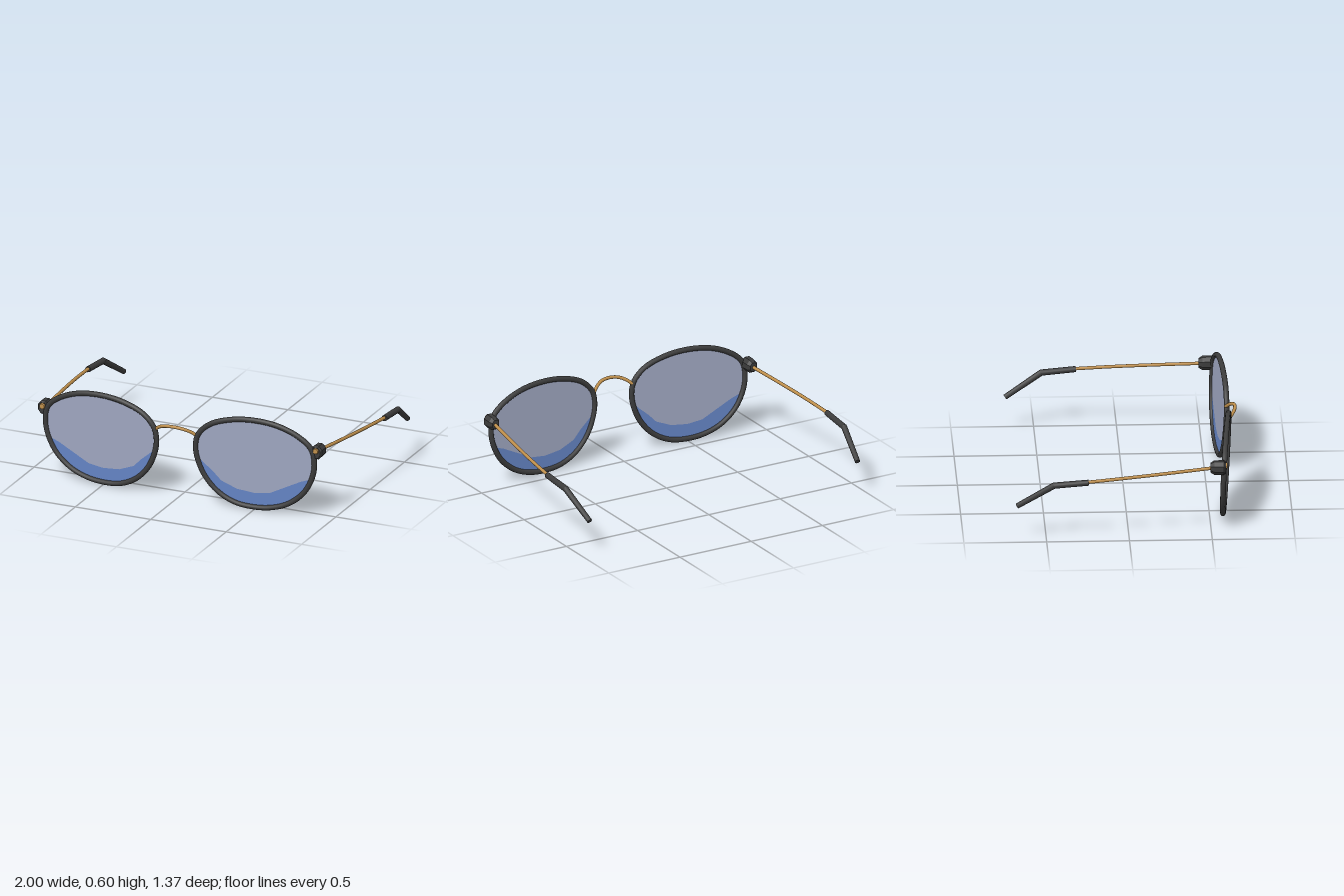
import * as THREE from 'three';

const mat = (name, color, extra = {}) => new THREE.MeshStandardMaterial({ name, color, ...extra });
const V = (x, y, z) => new THREE.Vector3(x, y, z);

// lens plane: swept back outward, leaning slightly forward at the top
const lensZ = (x, y) => 0.6 - 0.075 * (Math.abs(x) - 0.5) + 0.04 * (y - 0.3);

// rim centreline, from the nose side over the top and back underneath
const RIM = [[0.138, 0.3], [0.13, 0.38], [0.148, 0.45], [0.22, 0.523], [0.35, 0.572], [0.5, 0.589],
  [0.66, 0.572], [0.79, 0.52], [0.87, 0.453], [0.891, 0.37], [0.878, 0.27], [0.82, 0.157],
  [0.72, 0.072], [0.61, 0.031], [0.5, 0.02], [0.38, 0.034], [0.27, 0.09], [0.185, 0.185]];
// upper edge of the blue tint
const TINT = [[0.139, 0.3], [0.16, 0.285], [0.24, 0.217], [0.29, 0.165], [0.39, 0.124], [0.5, 0.112],
  [0.6, 0.124], [0.72, 0.185], [0.8, 0.225], [0.874, 0.252]];

export function createModel() {
  const model = new THREE.Group();
  model.name = 'eyeglasses';
  const dark = mat('darkFrame', 0x3c3c3c);
  const gold = mat('goldMetal', 0xc0904c);
  const grey = mat('greyLens', 0xa0a8c2, { side: THREE.DoubleSide });
  const blue = mat('blueTint', 0x6585c6, { side: THREE.DoubleSide });

  const add = (name, geometry, material) => {
    const mesh = new THREE.Mesh(geometry, material);
    mesh.name = name;
    model.add(mesh);
    return mesh;
  };

  // capped round bar between two points
  const bar = (name, a, b, ra, rb, material) => {
    const d = b.clone().sub(a);
    const mesh = add(name, new THREE.CylinderGeometry(rb, ra, d.length(), 12), material);
    mesh.position.copy(a).addScaledVector(d, 0.5);
    mesh.quaternion.setFromUnitVectors(V(0, 1, 0), d.normalize());
  };

  // flat outline laid onto the lens plane
  const pane = (name, pts, material) => {
    const g = new THREE.ShapeGeometry(new THREE.Shape(pts.map(p => new THREE.Vector2(p.x, p.y))));
    const pos = g.attributes.position;
    for (let i = 0; i < pos.count; i++) pos.setZ(i, lensZ(pos.getX(i), pos.getY(i)));
    g.computeVertexNormals();
    add(name, g, material);
  };

  for (const [side, s] of [['left', 1], ['right', -1]]) {
    const onLens = ([x, y]) => V(s * x, y, lensZ(x, y));

    // rim
    const rim = new THREE.CatmullRomCurve3(RIM.map(onLens), true);
    add(side + 'Rim', new THREE.TubeGeometry(rim, 96, 0.0165, 10, true), dark);

    // lens, split along the tint edge
    const edge = TINT.map(onLens);
    const tintY = x => {
      const i = Math.max(1, TINT.findIndex(p => p[0] >= x));
      if (x > TINT[TINT.length - 1][0]) return 0.252;
      const [a, b] = [TINT[i - 1], TINT[i]];
      return a[1] + (b[1] - a[1]) * (x - a[0]) / (b[0] - a[0]);
    };
    const ring = rim.getPoints(96).slice(1, -1);
    const isUpper = p => p.y > Math.min(0.3, tintY(Math.abs(p.x)));
    pane(side + 'LensUpper', [...ring.filter(isUpper), ...[...edge].reverse()], grey);
    pane(side + 'LensTint', [...ring.filter(p => !isUpper(p)), ...edge], blue);

    // hinge block, tapering backwards
    const block = new THREE.LatheGeometry([[0, 0], [0.03, 0], [0.044, 0.022], [0.046, 0.08], [0.036, 0.092], [0, 0.092]]
      .map(p => new THREE.Vector2(...p)), 8).toNonIndexed();
    block.rotateX(Math.PI / 2).rotateZ(Math.PI / 8).scale(0.86, 1, 1);
    block.computeVertexNormals();
    add(side + 'Hinge', block, dark).position.set(s * 0.905, 0.432, 0.493);

    // rivet on the front of the hinge
    const rivet = new THREE.CylinderGeometry(0.016, 0.02, 0.014, 14).rotateX(Math.PI / 2);
    add(side + 'Rivet', rivet, gold).position.set(s * 0.906, 0.445, 0.588);

    // temple wire, bowed slightly outward
    const wire = new THREE.CatmullRomCurve3([V(s * 0.905, 0.43, 0.51), V(s * 0.943, 0.409, 0.2),
      V(s * 0.968, 0.392, -0.05), V(s * 0.983, 0.376, -0.27)]);
    add(side + 'Temple', new THREE.TubeGeometry(wire, 20, 0.0105, 10), gold);

    // ear tip with a bend
    const start = V(s * 0.982, 0.375, -0.245), bend = V(s * 0.977, 0.357, -0.455), end = V(s * 0.94, 0.216, -0.675);
    bar(side + 'EarTipFront', start, bend, 0.0185, 0.019, dark);
    bar(side + 'EarTipBack', bend, end, 0.019, 0.0165, dark);
    add(side + 'EarTipBend', new THREE.SphereGeometry(0.019, 12, 8), dark).position.copy(bend);
  }

  // bridge arching up and forward
  const arch = new THREE.CatmullRomCurve3([[-0.135, 0.437, 0.628], [-0.105, 0.461, 0.646], [-0.06, 0.481, 0.668],
    [0, 0.488, 0.676], [0.06, 0.481, 0.668], [0.105, 0.461, 0.646], [0.135, 0.437, 0.628]].map(p => V(...p)));
  add('bridge', new THREE.TubeGeometry(arch, 32, 0.0105, 10), gold);

  return model;
}
